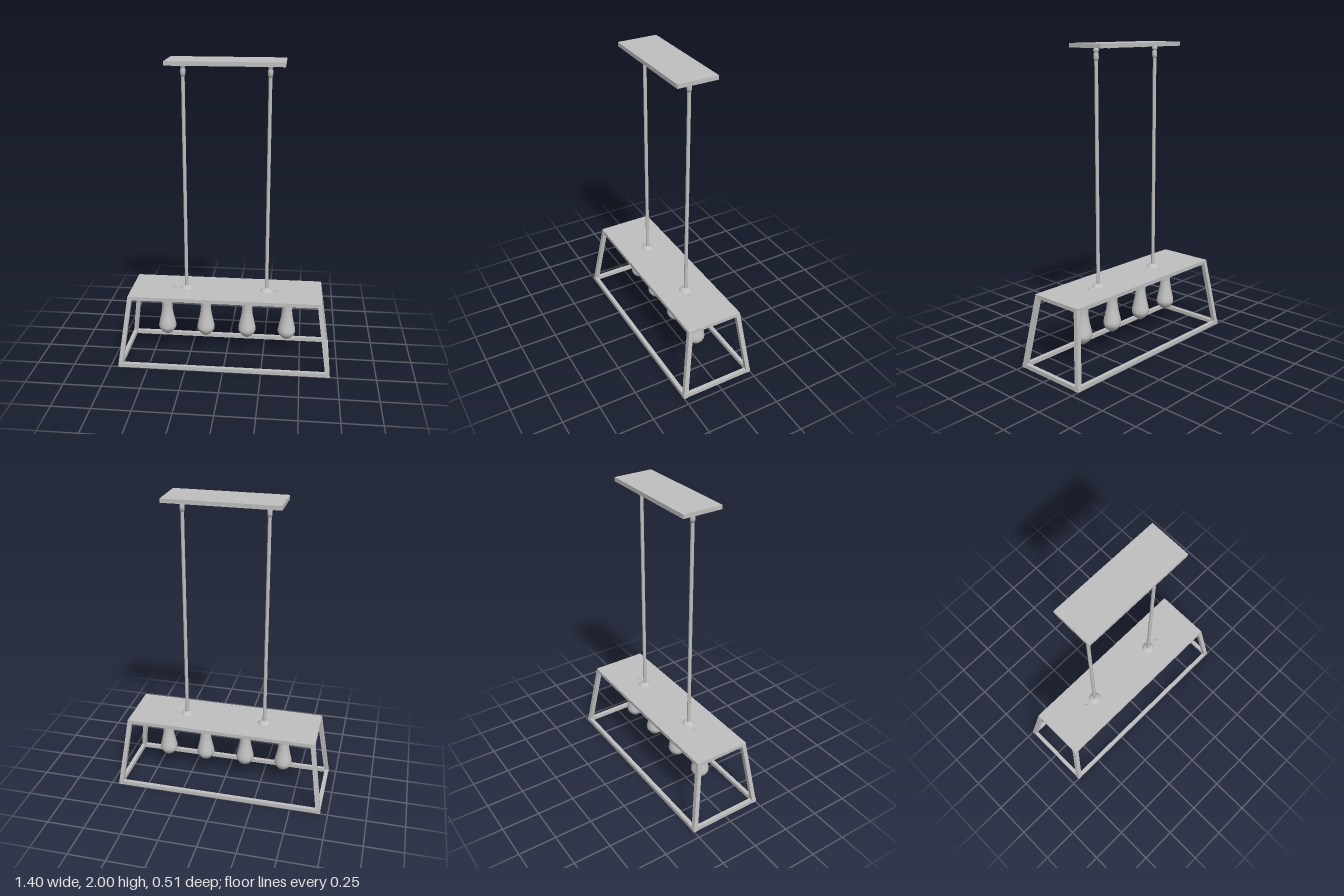
import * as THREE from 'three';

export function createModel() {
  const model = new THREE.Group();
  const metal = new THREE.MeshStandardMaterial({ color: 0xc0c0c0 });
  metal.name = 'greyMetal';

  const add = (name, geometry, x = 0, y = 0, z = 0, parent = model) => {
    const mesh = new THREE.Mesh(geometry, metal);
    mesh.name = name;
    mesh.position.set(x, y, z);
    parent.add(mesh);
    return mesh;
  };
  const lathe = (points, sides = 32) =>
    new THREE.LatheGeometry(points.map(([r, y]) => new THREE.Vector2(r, y)), sides);

  // Ceiling canopy with its two screws
  add('canopy', new THREE.BoxGeometry(0.726, 0.026, 0.262), 0, 1.987, 0);
  for (const x of [-0.16, 0.16]) {
    add('canopyScrew', new THREE.SphereGeometry(0.009, 12, 8), x, 1.972, 0);
  }

  // Hanging rods with swivel joints above and domed flanges below
  const swivel = lathe([[0, -0.08], [0.013, -0.08], [0.016, -0.06], [0.016, -0.035], [0.01, -0.03],
    [0.017, -0.022], [0.018, -0.012], [0.012, -0.004], [0.009, 0]], 20);
  const flange = lathe([[0.042, 0], [0.037, 0.008], [0.025, 0.016], [0.012, 0.02]]);
  for (const side of [-1, 1]) {
    add('rod', new THREE.CylinderGeometry(0.0115, 0.0115, 1.44, 20, 1, true), side * 0.268, 1.205, 0);
    add('swivel', swivel, side * 0.268, 1.975, 0);
    add('flange', flange, side * 0.268, 0.485, 0);
    add('topScrew', new THREE.SphereGeometry(0.011, 12, 8), side * 0.343, 0.486, 0);
  }

  // Top plate
  add('topPlate', new THREE.BoxGeometry(1.266, 0.025, 0.374), 0, 0.4725, 0);

  // Bottom frame
  const bar = 0.026;
  for (const side of [-1, 1]) {
    add('longBar', new THREE.BoxGeometry(1.398, bar, bar), 0, bar / 2, side * (0.252 - bar / 2));
    add('endBar', new THREE.BoxGeometry(bar, bar, 0.504 - 2 * bar), side * (0.699 - bar / 2), bar / 2, 0);
  }

  // Sloping corner legs: square bars sheared outwards towards the floor
  const legHeight = 0.472;
  for (const sx of [-1, 1]) {
    for (const sz of [-1, 1]) {
      const leg = new THREE.BoxGeometry(0.029, legHeight, 0.029);
      const p = leg.attributes.position;
      for (let i = 0; i < p.count; i++) {
        const t = p.getY(i) / legHeight + 0.5;
        p.setX(i, p.getX(i) + sx * (0.6865 - 0.066 * t));
        p.setZ(i, p.getZ(i) + sz * (0.2385 - 0.066 * t));
      }
      leg.computeVertexNormals();
      add('leg', leg, 0, legHeight / 2, 0);
    }
  }

  // Sockets and teardrop bulbs
  const profile = new THREE.SplineCurve([[0, 0.13], [0.012, 0.139], [0.04, 0.16], [0.057, 0.187],
    [0.058, 0.213], [0.049, 0.255], [0.039, 0.305], [0.033, 0.358]]
    .map(([r, y]) => new THREE.Vector2(r, y))).getPoints(28);
  profile[0].x = 0;
  const bulb = new THREE.LatheGeometry(profile, 32);
  for (const x of [-0.405, -0.14, 0.14, 0.408]) {
    const lamp = new THREE.Group();
    lamp.name = 'lamp';
    lamp.position.x = x;
    model.add(lamp);
    add('stem', new THREE.CylinderGeometry(0.013, 0.013, 0.03, 16), 0, 0.45, 0, lamp);
    add('socketCap', new THREE.CylinderGeometry(0.037, 0.037, 0.05, 32), 0, 0.414, 0, lamp);
    add('socketCollar', new THREE.CylinderGeometry(0.035, 0.035, 0.04, 32), 0, 0.37, 0, lamp);
    add('bulb', bulb, 0, 0, 0, lamp);
  }

  return model;
}
